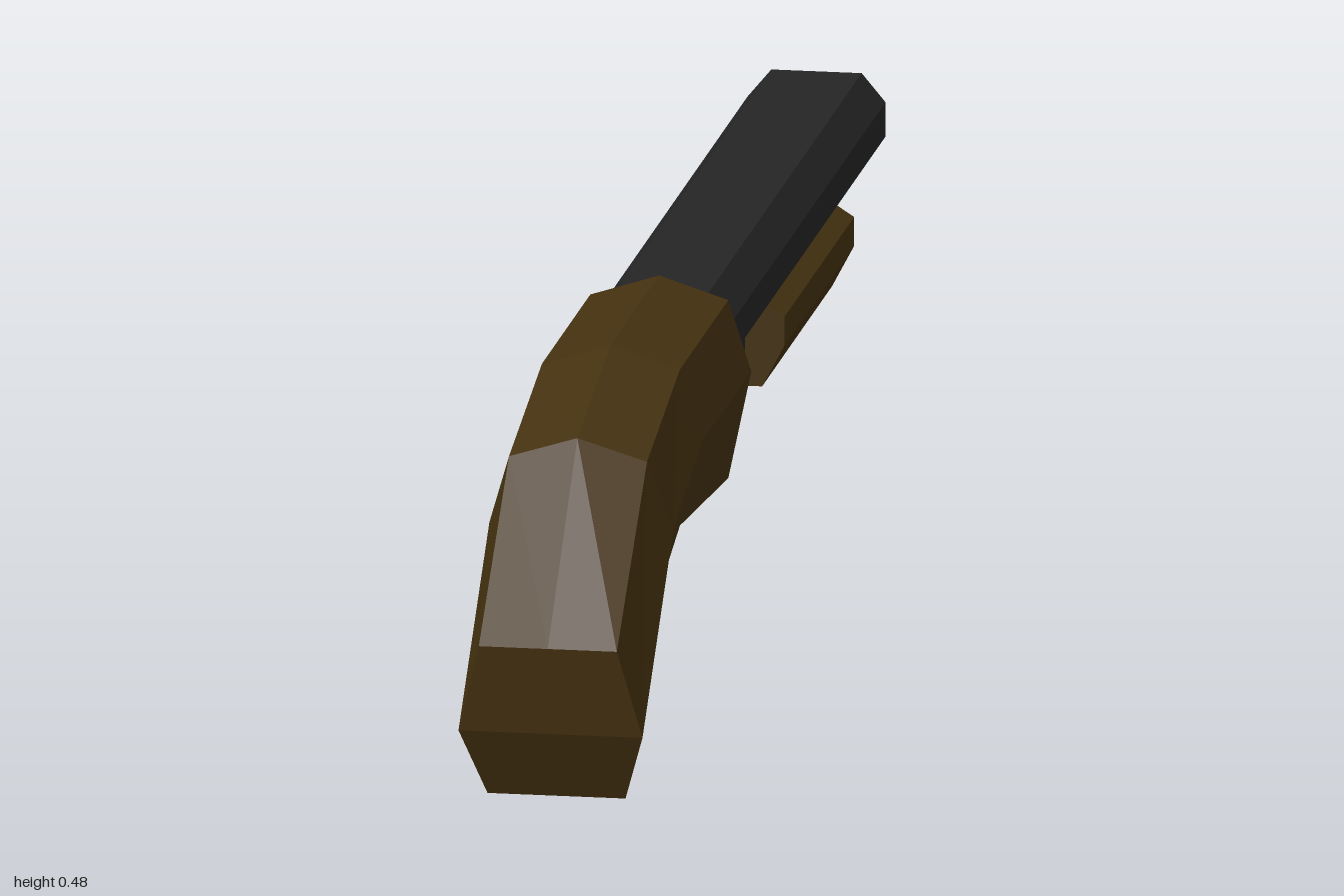
import * as THREE from 'three';

const wood = new THREE.MeshStandardMaterial({ color: 0x443110, flatShading: true });
wood.name = 'darkWood';
const metal = new THREE.MeshStandardMaterial({ color: 0x252526, flatShading: true });
metal.name = 'gunmetal';

// Polygon mirrored in x: half holds the +x points from top to bottom.
function mirrored(half, Type = THREE.Shape) {
  const left = half.map(([x, y]) => [-x, y]).reverse();
  return new Type([...half, ...left].map(([x, y]) => new THREE.Vector2(x, y)));
}

// Prism along z from z0 to z1.
function prism(shape, z0, z1) {
  const g = new THREE.ExtrudeGeometry(shape, { depth: z1 - z0, bevelEnabled: false });
  return g.translate(0, 0, z0);
}

// Skin a row of rings (ridge first, then down +x and back up -x), capping both ends.
function loft(rings) {
  const out = [];
  const n = rings[0].length;
  const quad = (a, b, c, d) => out.push(...a, ...b, ...c, ...a, ...c, ...d);
  for (let i = 0; i < rings.length - 1; i++) {
    for (let j = 0; j < n; j++) {
      const k = (j + 1) % n;
      quad(rings[i][j], rings[i + 1][j], rings[i + 1][k], rings[i][k]);
    }
  }
  const cap = (r, back) => {
    if (back) out.push(...r[0], ...r[1], ...r[n - 1]);
    else out.push(...r[0], ...r[n - 1], ...r[1]);
    for (let j = 1; j < (n - 1) / 2; j++) {
      if (back) quad(r[j], r[j + 1], r[n - j - 1], r[n - j]);
      else quad(r[j], r[n - j], r[n - j - 1], r[j + 1]);
    }
  };
  cap(rings[0], true);
  cap(rings[rings.length - 1], false);
  const g = new THREE.BufferGeometry();
  g.setAttribute('position', new THREE.Float32BufferAttribute(out, 3));
  g.computeVertexNormals();
  return g;
}

export function createModel() {
  const group = new THREE.Group();
  const add = (name, geometry, material) => {
    const mesh = new THREE.Mesh(geometry, material);
    mesh.name = name;
    group.add(mesh);
    return mesh;
  };

  // Receiver and curved grip: [z, y] of ridge, shoulder, waist and belly per section.
  const sections = [
    [[0.17, 0.478], [0.17, 0.45], [0.17, 0.36], [0.17, 0.222]],
    [[0.53, 0.478], [0.53, 0.45], [0.53, 0.36], [0.53, 0.25]],
    [[0.78, 0.42], [0.775, 0.392], [0.75, 0.3], [0.735, 0.19]],
    [[1.0, 0.204], [1.0, 0.204], [0.98, 0.09], [0.935, 0]],
  ];
  const widths = [0, 0.087, 0.116, 0.087];
  add('stock', loft(sections.map((s) => {
    const half = s.map(([z, y], i) => [widths[i], y, z]);
    const other = half.slice(1).reverse().map(([x, y, z]) => [-x, y, z]);
    return [...half, ...other];
  })), wood);

  // Barrel with a hollow muzzle
  const barrelHalf = [[0.057, 0.451], [0.087, 0.415], [0.087, 0.371], [0.057, 0.335]];
  const muzzle = mirrored(barrelHalf);
  muzzle.holes.push(mirrored([[0.046, 0.416], [0.046, 0.37]], THREE.Path));
  add('muzzle', prism(muzzle, -1, -0.85), metal);
  add('barrel', prism(mirrored(barrelHalf), -0.85, 0.2), metal);

  // Magazine tube and the rib joining it to the barrel
  const tube = new THREE.CylinderGeometry(0.031, 0.031, 1.14, 8);
  tube.rotateY(Math.PI / 8).rotateX(Math.PI / 2).translate(0, 0.28, -0.37);
  add('magazineTube', tube, metal);
  add('rib', new THREE.BoxGeometry(0.044, 0.05, 1.05).translate(0, 0.317, -0.325), metal);

  // Sliding foregrip
  const foregrip = mirrored([[0.05, 0.33], [0.078, 0.312], [0.078, 0.275], [0.05, 0.222]]);
  add('foregrip', prism(foregrip, -0.82, -0.3), wood);

  // Trigger, drawn in the z-y plane and turned sideways
  const profile = [[0.37, 0.25], [0.375, 0.212], [0.338, 0.162], [0.318, 0.166], [0.348, 0.215], [0.345, 0.25]];
  const trigger = new THREE.Shape(profile.map(([z, y]) => new THREE.Vector2(-z, y)));
  const triggerGeometry = new THREE.ExtrudeGeometry(trigger, { depth: 0.044, bevelEnabled: false });
  add('trigger', triggerGeometry.translate(0, 0, -0.022).rotateY(Math.PI / 2), metal);

  return group;
}
